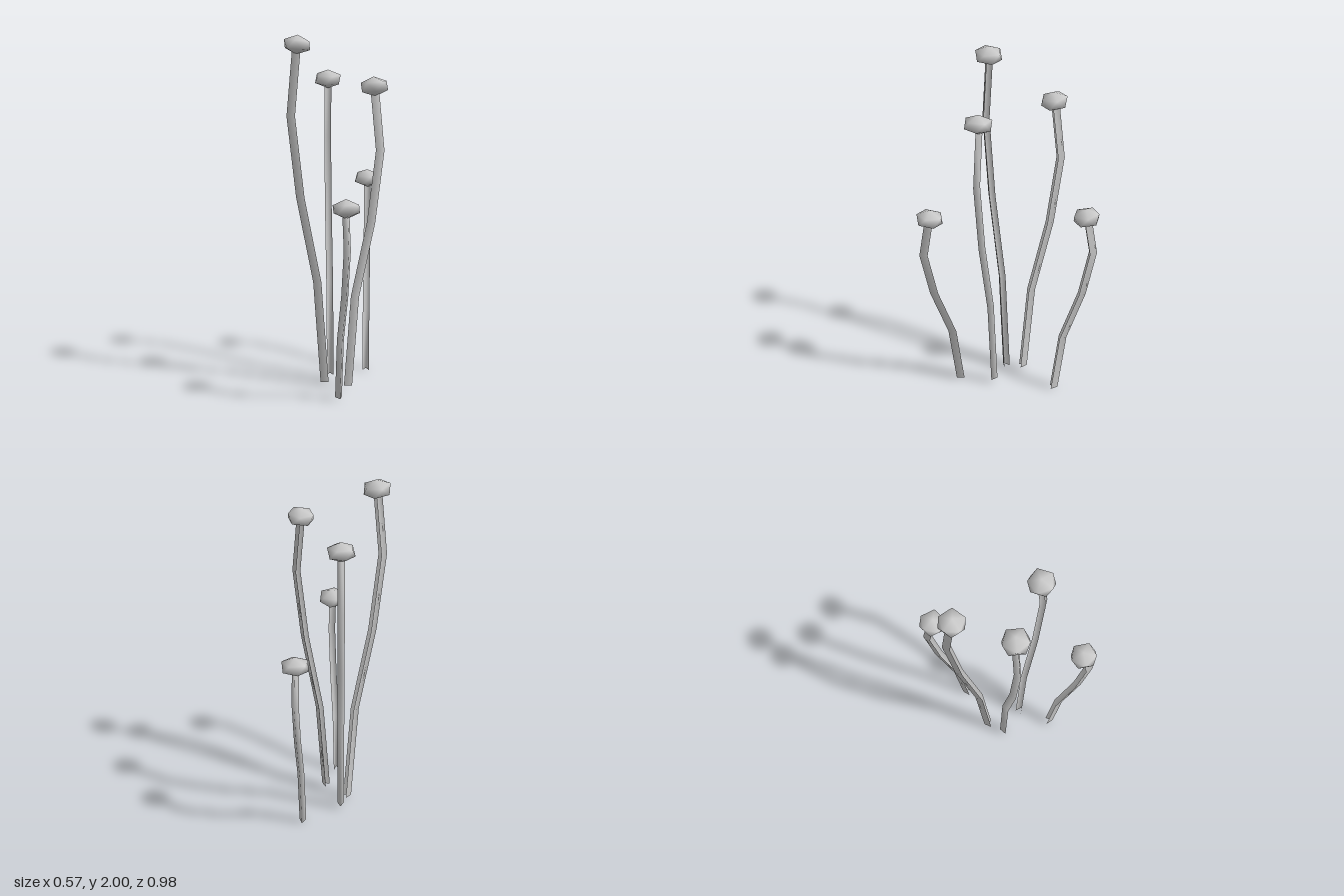
import * as THREE from 'three';
import { mergeVertices } from 'three/addons/utils/BufferGeometryUtils.js';

const grey = new THREE.MeshStandardMaterial({ color: 0xcccccc });
const greyThin = new THREE.MeshStandardMaterial({ color: 0xcccccc, side: THREE.DoubleSide });

// Shared bend of every stalk: [fraction of height, outward lean]
const bend = [[0, 0], [0.31, 0.045], [0.565, 0.148], [0.8, 0.203], [1, 0.165]];
// Open V cross-section with its ridge facing outward: [outward, sideways]
const section = [[-0.016, 0.0195], [0.026, 0], [-0.016, -0.0195]];

// Folded stem swept along the bend, leaning toward local +x
function stemGeometry(height) {
  const pos = [], index = [];
  bend.forEach(([t, lean], i) => {
    section.forEach(([out, side], j) => {
      pos.push(lean + out, t * height, side);
      if (i < bend.length - 1 && j < section.length - 1) {
        const a = i * 3 + j, b = a + 1, c = a + 3, d = a + 4;
        index.push(a, b, c, b, d, c);
      }
    });
  });
  const g = new THREE.BufferGeometry();
  g.setAttribute('position', new THREE.Float32BufferAttribute(pos, 3));
  g.setIndex(index);
  g.computeVertexNormals();
  return g;
}

// Flattened smooth icosahedron standing on one of its corners
function capGeometry() {
  let g = new THREE.IcosahedronGeometry(1, 0);
  g.rotateX(-Math.atan((1 + Math.sqrt(5)) / 2));
  g.scale(0.082, 0.053, 0.082);
  g.deleteAttribute('normal');
  g.deleteAttribute('uv');
  g = mergeVertices(g, 1e-4);
  g.computeVertexNormals();
  return g;
}

export function createModel() {
  const model = new THREE.Group();
  model.name = 'stalkCluster';
  const cap = capGeometry();

  // base x, y, z; cap height; outward direction x, z
  const stalks = [
    ['tallLeftStalk', -0.067, 0.01, -0.024, 1.946, -0.92, 0.385],
    ['backStalk', -0.028, 0.02, -0.12, 1.73, 0, -1],
    ['rightStalk', 0.061, 0.02, 0.077, 1.73, 0.795, 0.606],
    ['shortFrontStalk', -0.005, 0.01, 0.26, 1.11, 0.152, 0.988],
    ['shortBackStalk', 0.194, 0, -0.255, 1.13, 0.124, -0.99],
  ];
  for (const [name, x, y, z, top, dx, dz] of stalks) {
    const stalk = new THREE.Group();
    stalk.name = name;
    stalk.position.set(x, y, z);
    stalk.rotation.y = Math.atan2(-dz, dx);

    const stem = new THREE.Mesh(stemGeometry(top - y), greyThin);
    stem.name = 'stem';

    // Cap sits on the tip, tilted with the last stem segment
    const head = new THREE.Mesh(cap, grey);
    head.name = 'cap';
    head.position.set(0.163, top - y, 0);
    head.rotation.z = 0.1;

    stalk.add(stem, head);
    model.add(stalk);
  }
  return model;
}
